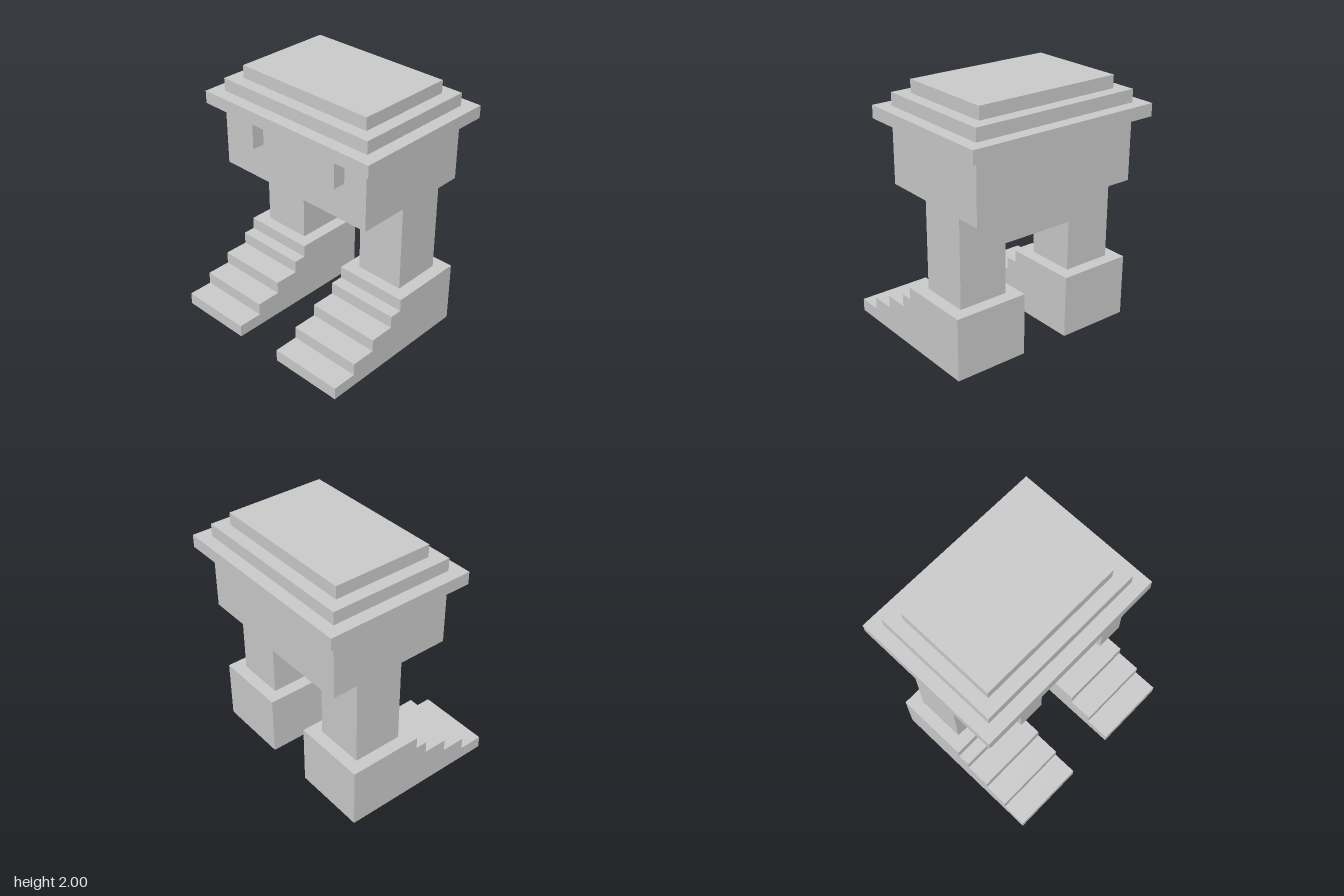
import * as THREE from 'three';

const material = new THREE.MeshStandardMaterial({ color: 0xcccccc, flatShading: true });

function addMesh(parent, name, geometry) {
  const mesh = new THREE.Mesh(geometry, material);
  mesh.name = name;
  parent.add(mesh);
  return mesh;
}

// Box given by its extents along each axis
function addBlock(parent, name, [x0, x1], [y0, y1], [z0, z1]) {
  const mesh = addMesh(parent, name, new THREE.BoxGeometry(x1 - x0, y1 - y0, z1 - z0));
  mesh.position.set((x0 + x1) / 2, (y0 + y1) / 2, (z0 + z1) / 2);
}

function extrude(points, depth) {
  const shape = new THREE.Shape(points.map(([x, y]) => new THREE.Vector2(x, y)));
  return new THREE.ExtrudeGeometry(shape, { depth, bevelEnabled: false });
}

export function createModel() {
  const group = new THREE.Group();
  group.name = 'steppedGateway';

  // Stepped bases: side profile (z, y) extruded across x
  const stepFronts = [0.75, 0.55, 0.35, 0.15, 0.05];
  const profile = [[-0.55, 0]];
  stepFronts.forEach((z, i) => profile.push([z, i * 0.1], [z, (i + 1) * 0.1]));
  profile.push([-0.55, 0.5]);
  for (const [name, xMax] of [['leftStairBase', 0.8], ['rightStairBase', -0.2]]) {
    const stairs = extrude(profile, 0.6);
    stairs.rotateY(-Math.PI / 2);
    stairs.translate(xMax, 0, 0);
    addMesh(group, name, stairs);
  }

  // Two legs joined by a lintel
  const arch = extrude([
    [-0.7, 0.5], [-0.3, 0.5], [-0.3, 0.9], [0.3, 0.9],
    [0.3, 0.5], [0.7, 0.5], [0.7, 1.2], [-0.7, 1.2],
  ], 0.4);
  arch.translate(0, 0, -0.45);
  addMesh(group, 'archLegs', arch);

  // Overhanging upper body
  addBlock(group, 'upperBody', [-0.7, 0.7], [1.2, 1.7], [-0.65, 0.35]);

  // Roof tiers, each inset from the one below
  ['roofBrim', 'roofMiddle', 'roofTop'].forEach((name, i) => {
    const inset = i * 0.1;
    addBlock(group, name, [-0.8 + inset, 0.8 - inset],
      [1.7 + inset, 1.8 + inset], [-0.75 + inset, 0.45 - inset]);
  });

  // Tabs hanging from the front of the brim
  addBlock(group, 'leftBrimTab', [0.3, 0.5], [1.5, 1.7], [0.35, 0.45]);
  addBlock(group, 'rightBrimTab', [-0.5, -0.3], [1.5, 1.7], [0.35, 0.45]);

  return group;
}
